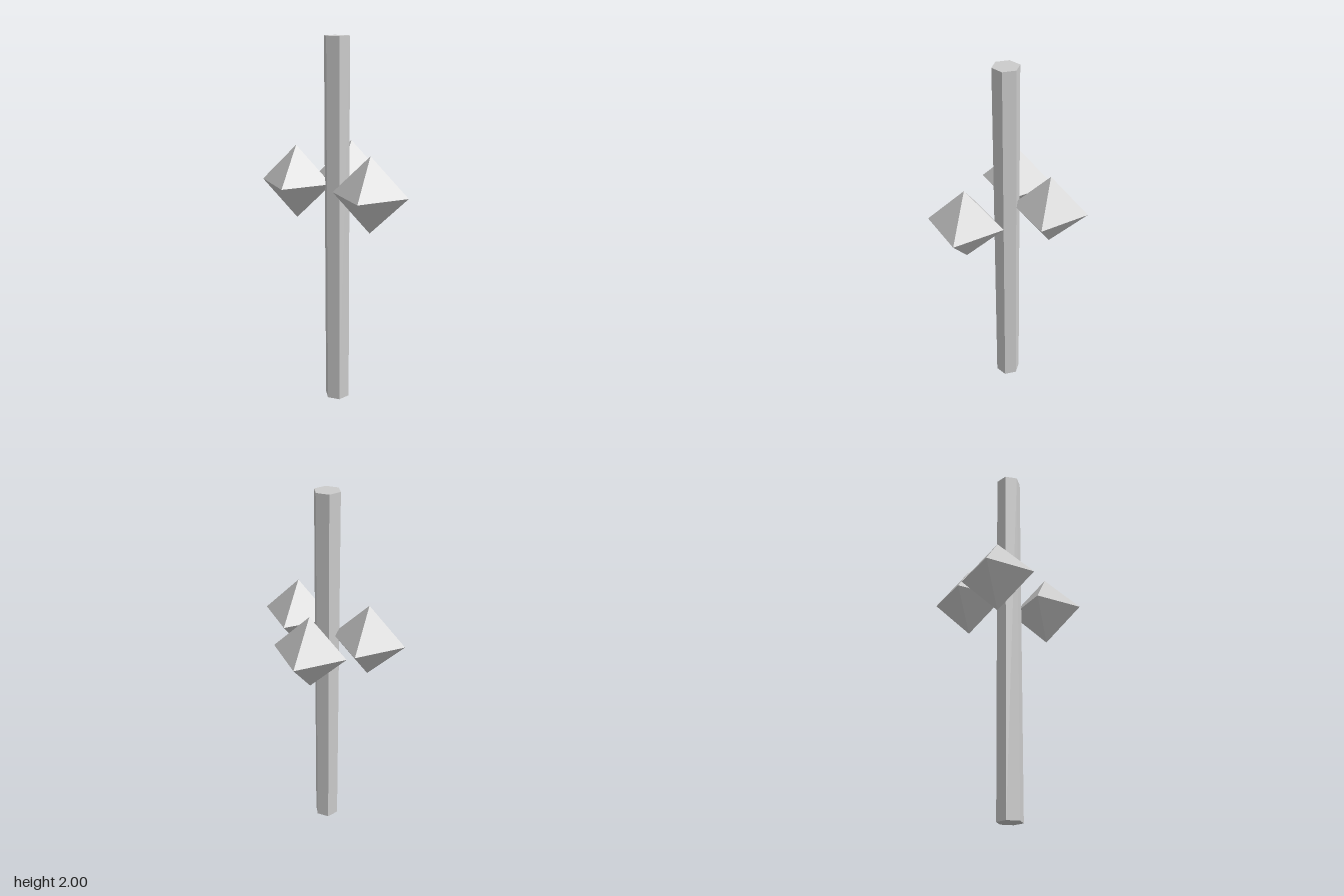
import * as THREE from 'three';

export function createModel() {
  const model = new THREE.Group();
  const grey = new THREE.MeshStandardMaterial({ color: 0xcccccc, flatShading: true });
  grey.name = 'light grey';

  // Tall hexagonal pole with corners pointing along x
  const pole = new THREE.Mesh(new THREE.CylinderGeometry(0.069, 0.069, 2, 6).rotateY(Math.PI / 6), grey);
  pole.name = 'pole';
  pole.position.set(0, 1, 0.037);
  model.add(pole);

  // Three octahedral crystals around the pole
  const crystalGeometry = new THREE.OctahedronGeometry(0.199);
  const crystals = [
    ['backCrystal', 0, -0.193],
    ['rightCrystal', -0.231, 0.037],
    ['leftCrystal', 0.231, 0.191],
  ];
  for (const [name, x, z] of crystals) {
    const crystal = new THREE.Mesh(crystalGeometry, grey);
    crystal.name = name;
    crystal.position.set(x, 1.236, z);
    model.add(crystal);
  }
  return model;
}
